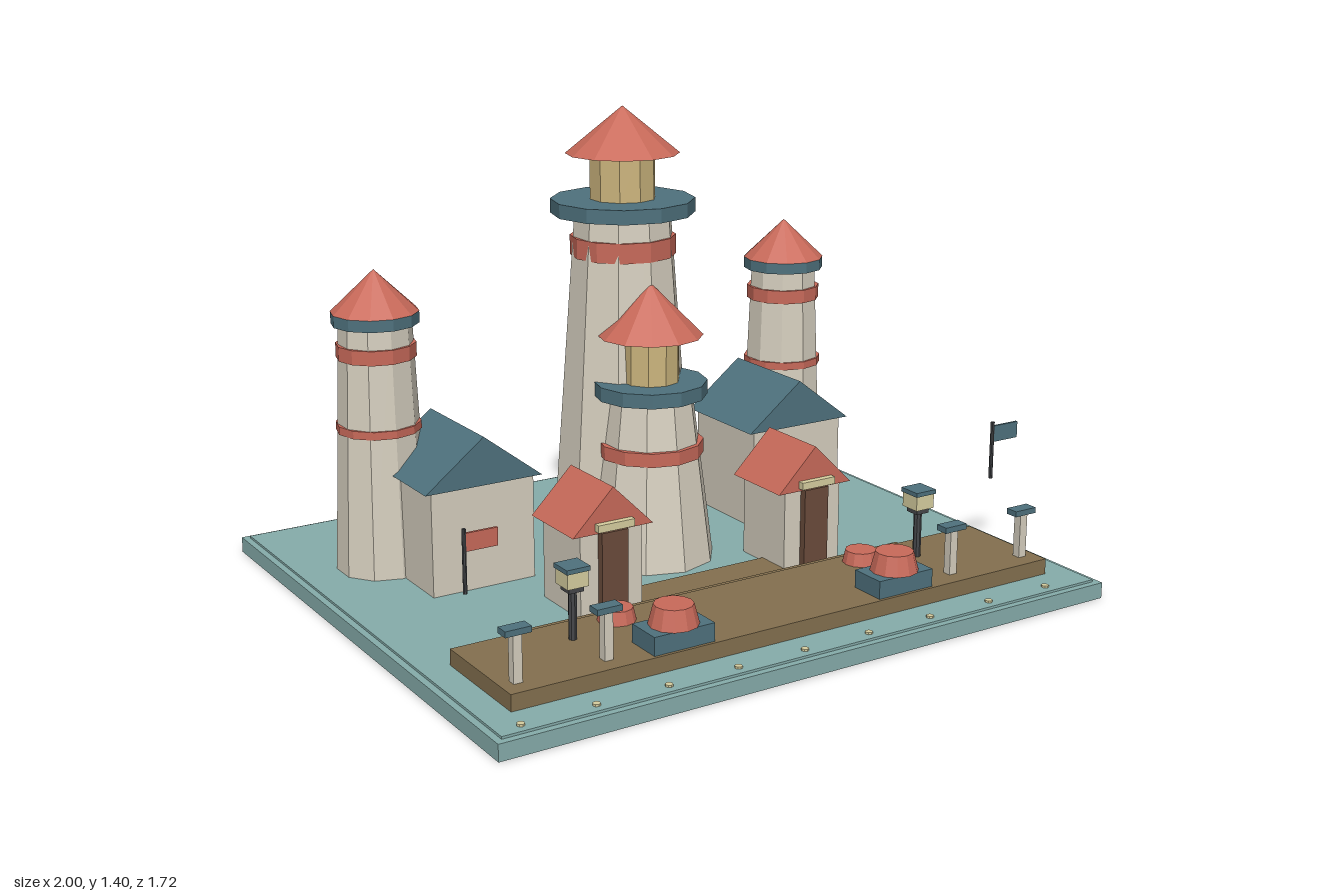
import * as THREE from 'three';

const C = {
  sea: 0x86adab, wall: 0xd6cfbf, red: 0xc96a5a, blue: 0x4f727e, gold: 0xcdb67e,
  wood: 0x84704f, door: 0x6b4c3b, dark: 0x45474a, cream: 0xd8cfa0,
};
const mats = {};
for (const k in C) mats[k] = new THREE.MeshStandardMaterial({ color: C[k], flatShading: true });

function add(parent, name, geo, mat, x = 0, y = 0, z = 0) {
  const m = new THREE.Mesh(geo, mats[mat]);
  m.name = name;
  m.position.set(x, y, z);
  parent.add(m);
  return m;
}
function group(parent, name, x, y, z) {
  const g = new THREE.Group();
  g.name = name;
  g.position.set(x, y, z);
  parent.add(g);
  return g;
}
// Box given by its bottom and top heights
const box = (p, name, mat, w, y0, y1, d, x = 0, z = 0) =>
  add(p, name, new THREE.BoxGeometry(w, y1 - y0, d), mat, x, (y0 + y1) / 2, z);
// Frustum given by its bottom and top heights
const drum = (p, name, mat, r0, r1, y0, y1, n = 12, x = 0, z = 0) =>
  add(p, name, new THREE.CylinderGeometry(r1, r0, y1 - y0, n), mat, x, (y0 + y1) / 2, z);

// Triangular roof with its ridge along z
function gable(p, name, mat, half, y0, y1, depth) {
  const s = new THREE.Shape([
    new THREE.Vector2(-half, 0), new THREE.Vector2(half, 0), new THREE.Vector2(0, y1 - y0),
  ]);
  const g = new THREE.ExtrudeGeometry(s, { depth, bevelEnabled: false });
  return add(p, name, g, mat, 0, y0, -depth / 2);
}

const GROUND = 0.055;

function tower(parent, name, x, z, o) {
  const t = group(parent, name, x, 0, z);
  drum(t, 'shaft', 'wall', o.base, o.top, GROUND, o.ring[0], 10);
  o.bands.forEach(([r, a, b]) => drum(t, 'band', 'red', r, r, a, b));
  drum(t, 'gallery', 'blue', o.ringR, o.ringR, o.ring[0], o.ring[1]);
  if (o.lampR) drum(t, 'lampRoom', 'gold', o.lampR, o.lampR, o.ring[1], o.roof[0], 10);
  drum(t, 'roof', 'red', o.roofR, 0, o.roof[0], o.roof[1]);
}

export function createModel() {
  const root = new THREE.Group();
  root.name = 'harbour';

  // Ground slab
  box(root, 'base', 'sea', 2, 0, 0.048, 1.72);
  box(root, 'baseTop', 'sea', 1.96, 0.048, GROUND, 1.68);

  // Lighthouses
  tower(root, 'mainTower', 0, -0.2, {
    base: 0.225, top: 0.148, bands: [[0.159, 0.96, 1.02]], ring: [1.087, 1.13], ringR: 0.217,
    lampR: 0.1, roof: [1.265, 1.405], roofR: 0.171,
  });
  tower(root, 'frontTower', 0, -0.045, {
    base: 0.195, top: 0.13, bands: [[0.16, 0.378, 0.42]], ring: [0.56, 0.603], ringR: 0.171,
    lampR: 0.088, roof: [0.742, 0.9], roofR: 0.158,
  });
  for (const s of [-1, 1]) {
    tower(root, s < 0 ? 'rightTower' : 'leftTower', s * 0.73, -0.388, {
      base: 0.14, top: 0.108, bands: [[0.118, 0.702, 0.745], [0.126, 0.482, 0.506]],
      ring: [0.803, 0.838], ringR: 0.129, roof: [0.838, 0.962], roofR: 0.13,
    });
  }

  // Jetty
  box(root, 'dock', 'wood', 1.79, GROUND, 0.102, 0.34, 0, 0.56);
  box(root, 'dockStep', 'wood', 1.28, GROUND, 0.086, 0.05, 0, 0.37);
  box(root, 'dockPath', 'wood', 0.84, GROUND, 0.066, 0.17, 0, 0.28);

  for (const s of [-1, 1]) {
    // Blue-roofed shed
    const shed = group(root, 'shed', s * 0.558, 0, -0.222);
    box(shed, 'walls', 'wall', 0.33, GROUND, 0.37, 0.32);
    gable(shed, 'roof', 'blue', 0.188, 0.37, 0.515, 0.345);

    // Red-roofed hut with door
    const hut = group(root, 'hut', s * 0.348, 0, 0.2);
    box(hut, 'walls', 'wall', 0.2, GROUND, 0.305, 0.21);
    gable(hut, 'roof', 'red', 0.13, 0.303, 0.432, 0.235);
    box(hut, 'door', 'door', 0.085, GROUND, 0.305, 0.025, 0, 0.115);
    box(hut, 'lintel', 'cream', 0.118, 0.312, 0.334, 0.03, 0, 0.122);

    // Buoy on a crate, and a loose buoy
    const crate = group(root, 'crate', s * 0.372, 0, 0.665);
    box(crate, 'crateBox', 'blue', 0.19, 0.1, 0.155, 0.112);
    drum(crate, 'buoy', 'red', 0.07, 0.055, 0.155, 0.212);
    drum(root, 'smallBuoy', 'red', 0.055, 0.046, 0.1, 0.14, 12, s * 0.42, 0.452);

    // Lamp post
    const lamp = group(root, 'lampPost', s * 0.588, 0, 0.505);
    drum(lamp, 'post', 'dark', 0.012, 0.012, 0.1, 0.245, 8);
    box(lamp, 'lampTray', 'dark', 0.045, 0.24, 0.256, 0.045);
    box(lamp, 'lamp', 'cream', 0.064, 0.256, 0.3, 0.064);
    box(lamp, 'lampCap', 'blue', 0.072, 0.3, 0.313, 0.072);

    // Mooring posts
    for (const x of [0.58, 0.847]) {
      const m = group(root, 'mooringPost', s * x, 0, 0.667);
      box(m, 'post', 'wall', 0.026, 0.1, 0.235, 0.026);
      box(m, 'cap', 'blue', 0.076, 0.235, 0.252, 0.04);
    }

    // Flag, flying towards +x on both sides
    const flag = group(root, 'flag', s * 0.89, 0, 0.48);
    drum(flag, 'pole', 'dark', 0.006, 0.006, 0.285, 0.462, 8);
    box(flag, 'cloth', s < 0 ? 'red' : 'blue', 0.092, 0.4, 0.45, 0.008, 0.05);
  }

  // Row of edge studs
  for (let i = 0; i < 9; i++) {
    drum(root, 'stud', 'cream', 0.011, 0.011, 0.05, 0.061, 8, -0.91 + i * 0.2165, 0.808);
  }
  return root;
}
